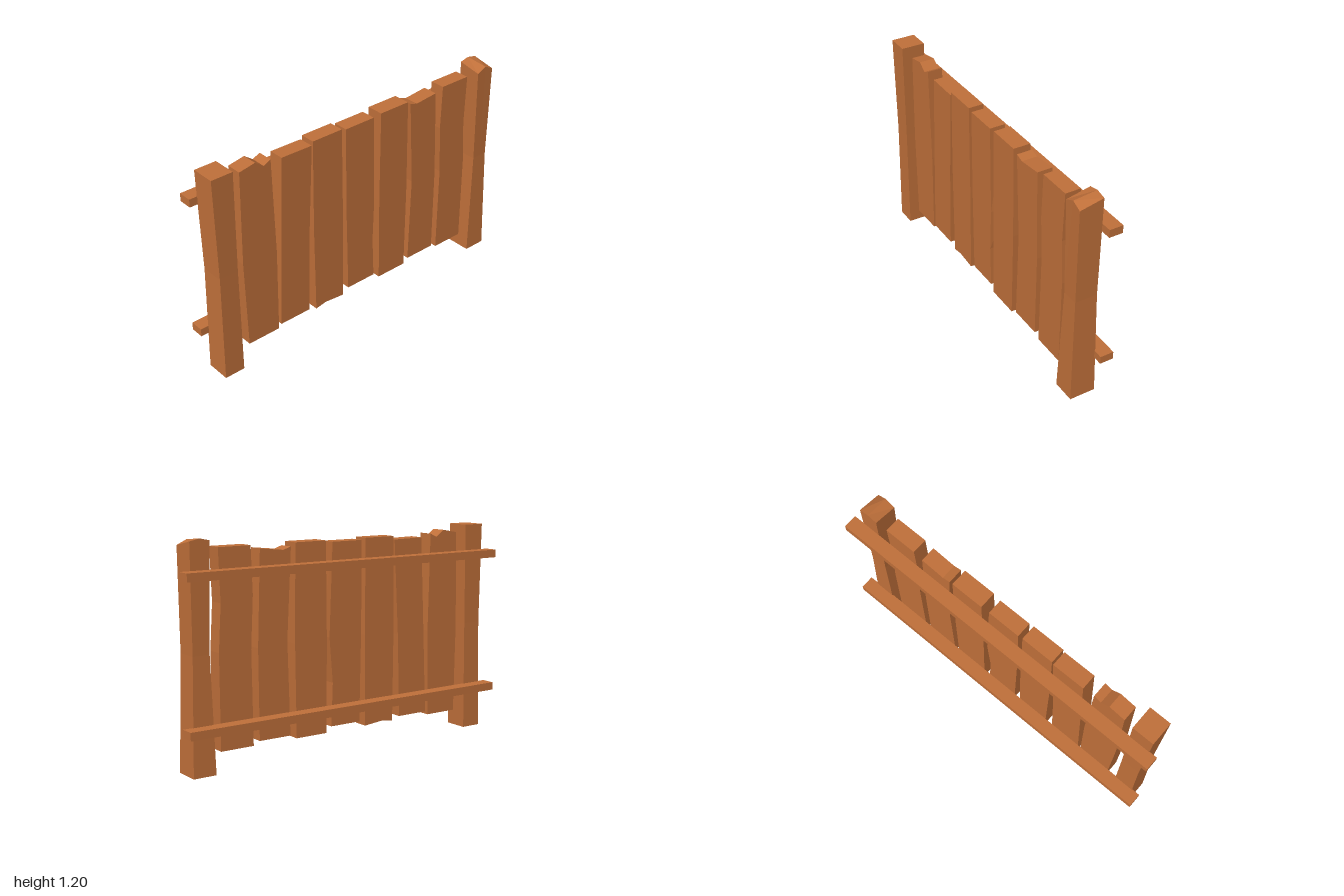
import * as THREE from 'three';

const wood = new THREE.MeshStandardMaterial({ color: 0xc0703a });
wood.name = 'warm wood';

function addMesh(group, name, geometry) {
  const mesh = new THREE.Mesh(geometry, wood);
  mesh.name = name;
  group.add(mesh);
  return mesh;
}

// Board cut from an uneven outline; backShift(x, y) can move the rear outline sideways
function plankGeometry(points, back = -0.015, front = 0.072, backShift = null) {
  const shape = new THREE.Shape(points.map(([x, y]) => new THREE.Vector2(x, y)));
  const geo = new THREE.ExtrudeGeometry(shape, { depth: front - back, bevelEnabled: false });
  geo.translate(0, 0, back);
  if (backShift) {
    const p = geo.attributes.position;
    for (let i = 0; i < p.count; i++) {
      if (p.getZ(i) < 0) p.setX(i, p.getX(i) + backShift(p.getX(i), p.getY(i)));
    }
    geo.computeVertexNormals();
  }
  return geo;
}

// Square post lofted through levels of [y, left, right, back, front], with an optional ridged top
function postGeometry(levels, topHeight = null) {
  const geo = new THREE.BoxGeometry(1, 1, 1, 2, levels.length - 1, 1);
  const p = geo.attributes.position;
  for (let i = 0; i < p.count; i++) {
    const u = p.getX(i) + 0.5, w = p.getZ(i) + 0.5;
    const k = Math.round((p.getY(i) + 0.5) * (levels.length - 1));
    const [y, x0, x1, z0, z1] = levels[k];
    const top = k === levels.length - 1 && topHeight;
    p.setXYZ(i, x0 + (x1 - x0) * u, top ? topHeight(u, w) : y, z0 + (z1 - z0) * w);
  }
  const flat = geo.toNonIndexed();
  flat.computeVertexNormals();
  return flat;
}

export function createModel() {
  const fence = new THREE.Group();
  fence.name = 'woodenFence';

  // Two horizontal rails behind the boards
  for (const [name, y] of [['lowerRail', 0.24], ['upperRail', 1.022]]) {
    addMesh(fence, name, new THREE.BoxGeometry(2, 0.044, 0.077)).position.set(0, y, -0.0675);
  }

  // End posts, slightly waisted
  addMesh(fence, 'rightPost', postGeometry([
    [0, -0.957, -0.84, -0.035, 0.103],
    [0.62, -0.947, -0.838, -0.03, 0.1],
    [1.19, -0.957, -0.832, -0.032, 0.103],
  ]));
  addMesh(fence, 'leftPost', postGeometry([
    [0, 0.822, 0.952, -0.038, 0.108],
    [0.62, 0.842, 0.937, -0.028, 0.098],
    [1.17, 0.83, 0.942, -0.03, 0.103],
  ], (u, w) => (u === 0.5 ? 1.2 - 0.013 * w : 1.188 - 0.027 * w)));

  // Seven boards, each outlined counter-clockwise from its lower -x corner
  const planks = [
    [[-0.775, 0.11], [-0.58, 0.11], [-0.573, 0.6], [-0.587, 1.15], [-0.63, 1.13],
      [-0.68, 1.167], [-0.775, 1.15], [-0.785, 0.62]],
    [[-0.562, 0.13], [-0.372, 0.13], [-0.358, 0.6], [-0.33, 1.13], [-0.52, 1.133], [-0.543, 0.6]],
    [[-0.322, 0.11], [-0.255, 0.122], [-0.132, 0.11], [-0.128, 0.62], [-0.132, 1.15],
      [-0.322, 1.15], [-0.327, 0.62]],
    [[-0.092, 0.14], [0.096, 0.14], [0.086, 0.38], [0.095, 0.63], [0.086, 1.14],
      [-0.105, 1.14], [-0.103, 0.65]],
    [[0.132, 0.11], [0.324, 0.11], [0.33, 0.62], [0.324, 1.15], [0.132, 1.15], [0.128, 0.62]],
    [[0.36, 0.13], [0.55, 0.13], [0.553, 0.62], [0.535, 1.13], [0.395, 1.115],
      [0.348, 1.13], [0.375, 0.64]],
    [[0.587, 0.11], [0.78, 0.11], [0.782, 0.62], [0.767, 0.87], [0.777, 1.15],
      [0.589, 1.15], [0.58, 0.9], [0.594, 0.62]],
  ];
  planks.forEach((points, i) => {
    const middle = i === 4 ? [-0.02, 0.077] : [-0.015, 0.072];
    const bulge = i === 3 ? (x, y) => (x > 0.09 && y > 0.5 ? 0.012 : 0) : null;
    addMesh(fence, `plank${i + 1}`, plankGeometry(points, ...middle, bulge));
  });

  return fence;
}
